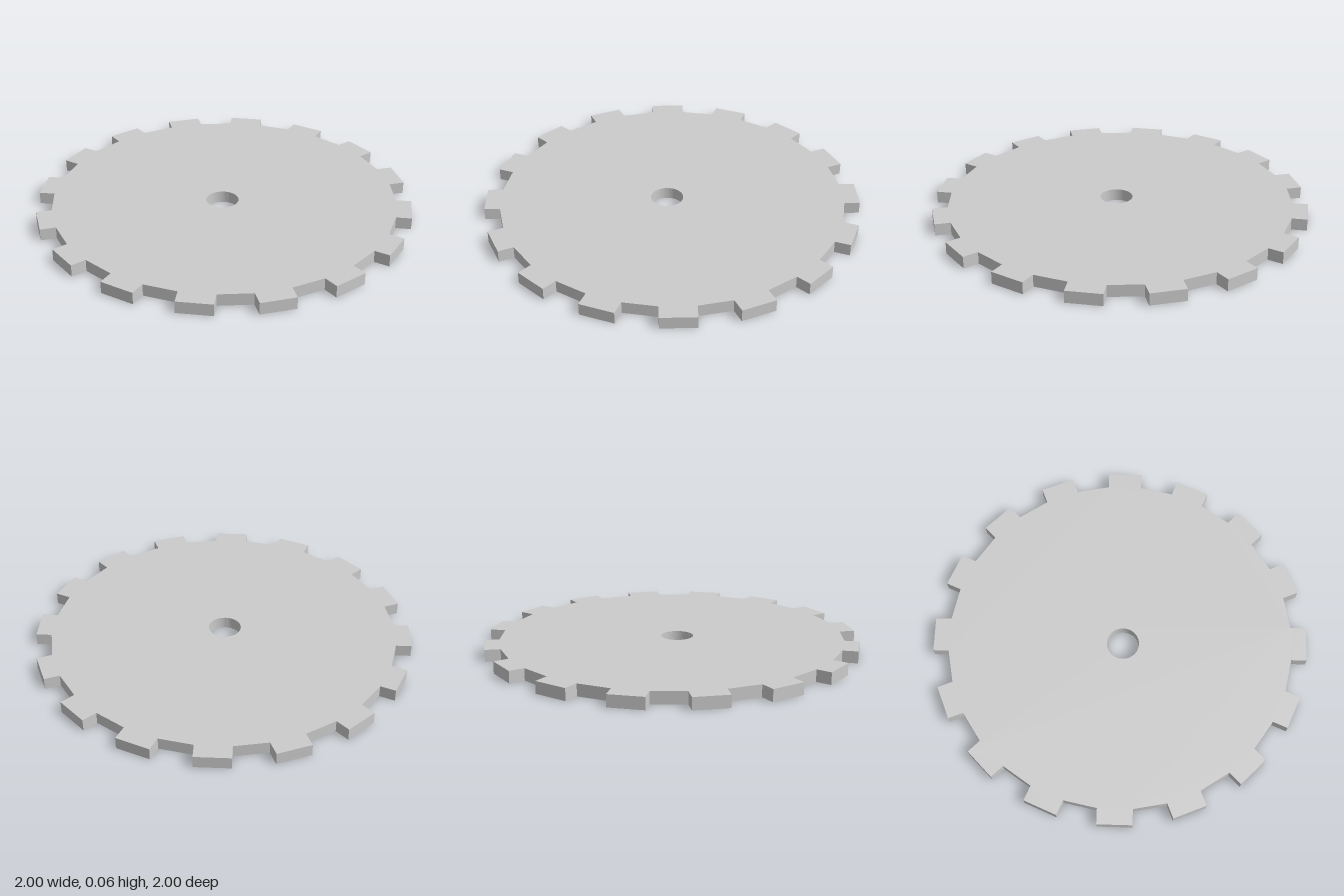
import * as THREE from 'three';
import { toCreasedNormals } from 'three/addons/utils/BufferGeometryUtils.js';

const TEETH = 16;
const THICKNESS = 0.064;
const HALF_WIDTH = 0.0915; // half the width of a square-sided tooth
const ROOT = 0.9134;       // distance from the centre to a tooth's foot
const TIP = 0.9958;        // distance from the centre to a tooth's flat end

// Outline of the wheel: parallel-sided teeth joined by straight valleys
function toothedOutline() {
  const points = [];
  const profile = [[ROOT, -HALF_WIDTH], [TIP, -HALF_WIDTH], [TIP, HALF_WIDTH], [ROOT, HALF_WIDTH]];
  for (let i = 0; i < TEETH; i++) {
    const angle = ((i + 0.25) / TEETH) * Math.PI * 2;
    for (const [along, across] of profile) {
      points.push(new THREE.Vector2(along, across).rotateAround(new THREE.Vector2(), angle));
    }
  }
  return new THREE.Shape(points);
}

export function createModel() {
  const group = new THREE.Group();
  group.name = 'toothedWheel';

  // Flat disc with a slightly off-centre axle hole
  const shape = toothedOutline();
  shape.holes.push(new THREE.Path().absarc(-0.003, -0.028, 0.086, 0, Math.PI * 2, true));
  const extruded = new THREE.ExtrudeGeometry(shape, {
    depth: THICKNESS, bevelEnabled: false, curveSegments: 48,
  });
  extruded.rotateX(-Math.PI / 2);

  const disc = new THREE.Mesh(
    toCreasedNormals(extruded, Math.PI / 12),
    new THREE.MeshStandardMaterial({ color: 0xcccccc }),
  );
  disc.name = 'toothedDisc';
  group.add(disc);
  return group;
}
